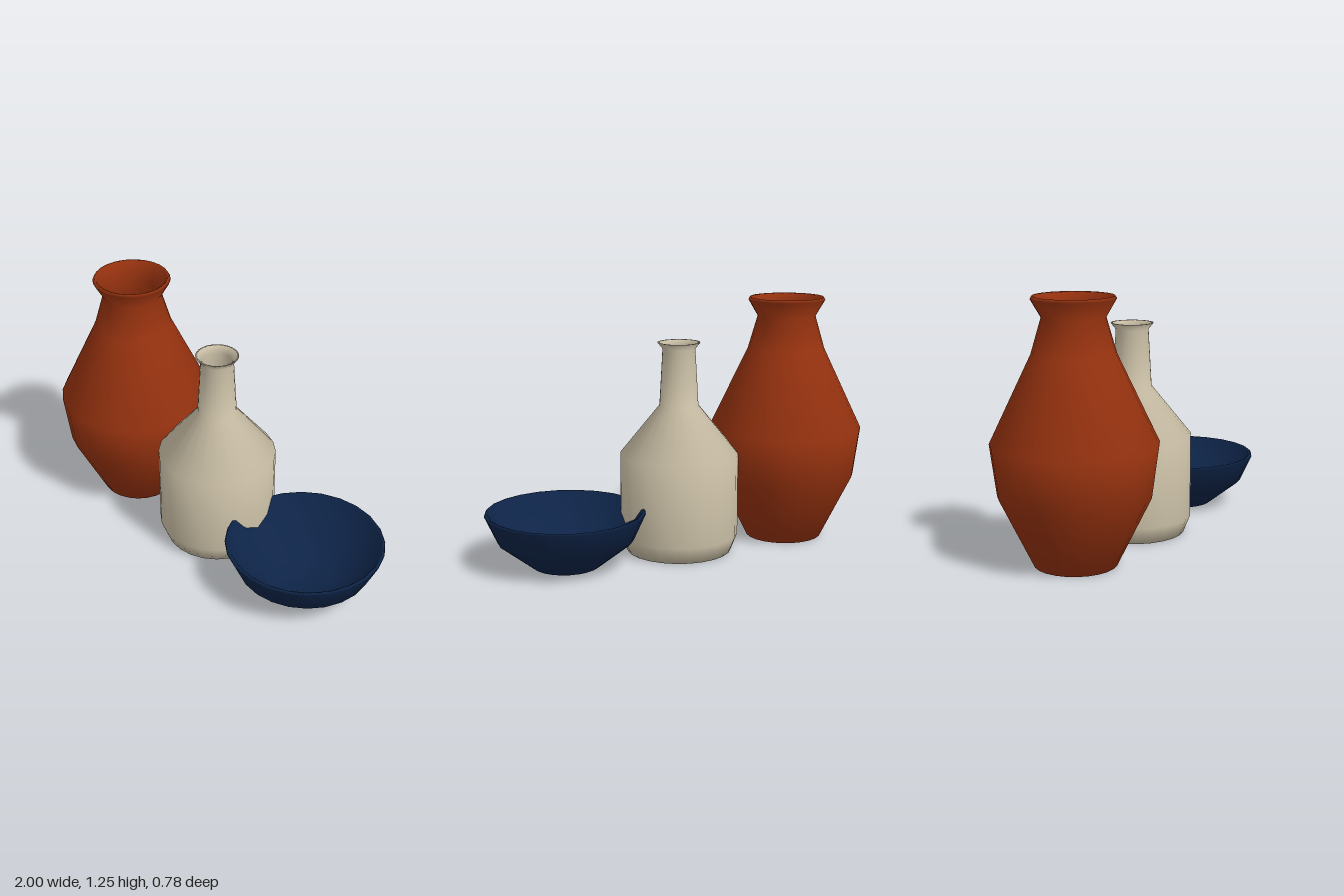
import * as THREE from 'three';

const flat = (name, color) => {
  const m = new THREE.MeshStandardMaterial({ color });
  m.name = name;
  return m;
};

// Hollow vessel: profile runs from base centre, up the outside, over the rim, down the inside
function vessel(name, material, x, profile) {
  const points = profile.map(([r, y]) => new THREE.Vector2(r, y));
  const mesh = new THREE.Mesh(new THREE.LatheGeometry(points, 24), material);
  mesh.name = name;
  mesh.position.x = x;
  return mesh;
}

export function createModel() {
  const group = new THREE.Group();
  group.name = 'potteryTrio';

  // Tall wide-bellied vase with flared lip
  group.add(vessel('tallVase', flat('terracotta', 0x96320f), -0.61, [
    [0, 0], [0.195, 0], [0.357, 0.33], [0.39, 0.575], [0.195, 0.985],
    [0.147, 1.15], [0.195, 1.233], [0.187, 1.247], [0.178, 1.243],
    [0.13, 1.15], [0.175, 0.98], [0.365, 0.575], [0.335, 0.335], [0.18, 0.03], [0, 0.03],
  ]));

  // Narrow-necked bottle
  group.add(vessel('bottle', flat('cream', 0xcabfa6), 0, [
    [0, 0], [0.262, 0], [0.295, 0.085], [0.295, 0.495], [0.097, 0.74],
    [0.081, 1.022], [0.106, 1.053], [0.095, 1.053],
    [0.073, 1.02], [0.083, 0.735], [0.275, 0.485], [0.275, 0.09], [0.25, 0.02], [0, 0.02],
  ]));

  // Open bowl
  group.add(vessel('bowl', flat('navy', 0x0e2448), 0.61, [
    [0, 0], [0.165, 0], [0.33, 0.13], [0.39, 0.262], [0.384, 0.272], [0.372, 0.268],
    [0.308, 0.155], [0.15, 0.035], [0, 0.03],
  ]));

  return group;
}
